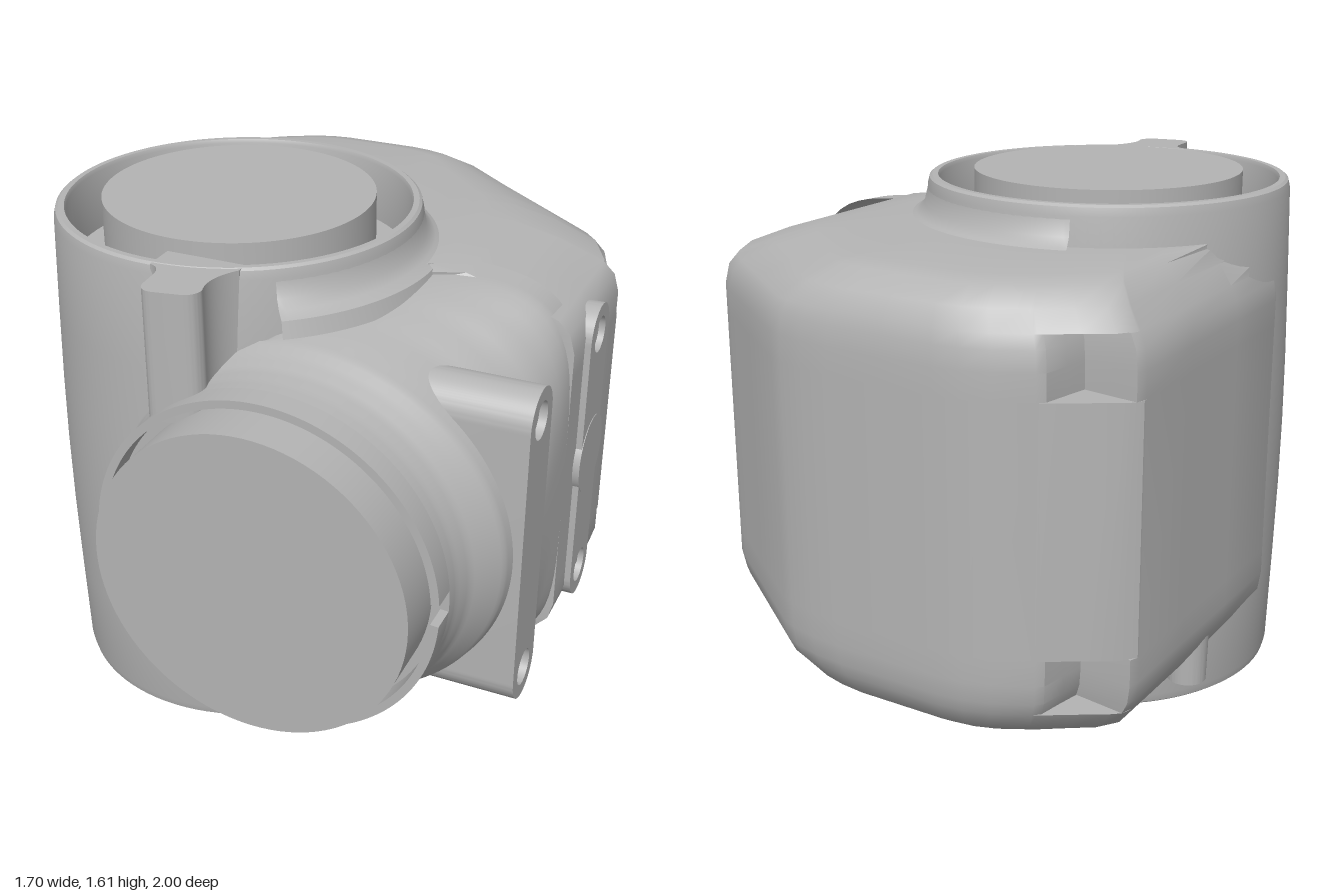
import * as THREE from 'three';
import { toCreasedNormals } from 'three/addons/utils/BufferGeometryUtils.js';

const MID = 0.785;               // height of the horizontal mirror plane
const AX = -0.26, AZ = 0.13;     // vertical barrel axis
const FX = 0.18;                 // front port axis
const metal = new THREE.MeshStandardMaterial({ color: 0xb4b4b4, side: THREE.DoubleSide });
metal.name = 'cast grey metal';

function add(group, name, geometry, crease = 0.6) {
  const mesh = new THREE.Mesh(toCreasedNormals(geometry, crease), metal);
  mesh.name = name;
  group.add(mesh);
  return mesh;
}

// Skin a list of closed rings that all have the same number of points
function loft(rings) {
  const n = rings[0].length, index = [];
  for (let i = 0; i < rings.length - 1; i++) {
    for (let j = 0; j < n; j++) {
      const k = (j + 1) % n, a = i * n + j, b = i * n + k;
      index.push(a, b, b + n, a, b + n, a + n);
    }
  }
  const g = new THREE.BufferGeometry();
  g.setAttribute('position', new THREE.Float32BufferAttribute(rings.flat(2), 3));
  g.setIndex(index);
  return g;
}

// Rear housing: plan outline [x, z, notched x, notched z], stacked in height
function housing() {
  const plan = [
    [0.83, 0.1], [0.83, -0.15], [0.83, -0.4], [0.83, -0.41, 0.70, -0.44], [0.79, -0.49, 0.715, -0.5],
    [0.755, -0.56, 0.73, -0.57], [0.75, -0.565], [0.71, -0.61], [0.66, -0.65], [0.45, -0.8], [0.24, -0.95],
    [0.19, -0.97], [0.1, -0.99], [0, -1], [-0.18, -1], [-0.35, -1], [-0.43, -0.99], [-0.51, -0.965],
    [-0.62, -0.91], [-0.63, -0.905, -0.64, -0.89], [-0.73, -0.84, -0.655, -0.81],
    [-0.81, -0.79, -0.67, -0.74], [-0.85, -0.74, -0.84, -0.765], [-0.85, -0.73], [-0.85, -0.45],
    [-0.85, -0.15], [-0.85, 0.13]];
  for (let i = 1; i <= 16; i++) {
    const a = Math.PI + i / 16 * Math.PI * 0.98;
    plan.push([AX + 0.56 * Math.cos(a), AZ - 0.56 * Math.sin(a)]);
  }
  // height, right scale, left scale, back scale, notched
  const rows = [
    [1.16, 1, 1, 1, 0], [1.16, 1, 1, 1, 1], [1.24, 1, 1, 1, 1], [1.3, 0.985, 0.985, 0.995, 1],
    [1.34, 0.95, 0.95, 0.985, 1], [1.34, 0.95, 0.95, 0.985, 0], [1.4, 0.81, 0.88, 0.96, 0],
    [1.445, 0.68, 0.8, 0.9, 0], [1.46, 0.59, 0.75, 0.84, 0], [1.46, 0, 0, 0, 0]];
  const ring = ([y, sr, sl, sb, notch], flip) => plan.map(([x, z, nx, nz]) => {
    const px = notch && nx !== undefined ? nx : x, pz = notch && nz !== undefined ? nz : z;
    let dx = (px - AX) * (px > AX ? sr : sl), dz = (pz - AZ) * sb;
    if (sr === 0) { dx = (px - AX) * 0.001; dz = (pz - AZ) * 0.001; }
    const r = Math.hypot(dx, dz), k = r < 0.56 ? 0.56 / r : 1;   // stay outside the barrel bore
    return [AX + dx * k, flip ? 2 * MID - y : y, AZ + dz * k];
  });
  return loft([...rows.slice().reverse().map(r => ring(r, true)), ...rows.map(r => ring(r, false))]);
}

// Front port: rounded box blending into a round neck
function frontPort() {
  const keys = [  // z, half width, half height, squareness
    [0, 0.65, 0.66, 5], [0.1, 0.65, 0.655, 5], [0.2, 0.65, 0.65, 3.6], [0.32, 0.65, 0.64, 2.6],
    [0.45, 0.65, 0.625, 2.1], [0.56, 0.648, 0.605, 2], [0.62, 0.635, 0.59, 2], [0.67, 0.6, 0.567, 2],
    [0.72, 0.565, 0.55, 2], [0.78, 0.545, 0.542, 2], [0.82, 0.54, 0.54, 2], [0.82, 0.001, 0.001, 2]];
  const rings = [];
  const N = 128, STEP = 4;
  for (let i = 0; i < keys.length; i++) {
    for (let s = 0; s < (i < keys.length - 1 ? STEP : 1); s++) {
      const [z, a, b, n] = keys[i].map((v, c) => s ? v + (keys[i + 1][c] - v) * s / STEP : v);
      const ring = [];
      for (let j = 0; j < N; j++) {
        const t = j / N * Math.PI * 2, c = Math.cos(t), d = Math.sin(t);
        const k = (Math.abs(c) ** n + Math.abs(d) ** n) ** (-1 / n);
        const x = FX + a * c * k;
        let y = MID + b * d * k;
        // keep clear of the barrel recesses
        if (Math.hypot(x - AX, z - AZ) < 0.572) y = Math.min(1.36, Math.max(0.21, y));
        ring.push([x, y, z]);
      }
      rings.push(ring);
    }
  }
  return loft(rings);
}

const lathe = (pts, a = 0, len = Math.PI * 2) =>
  new THREE.LatheGeometry(pts.map(p => new THREE.Vector2(...p)), 96, a, len);

// Mounting strip on the side face, extruded along x, with counterbored holes
function strip(group, name, z, x0, x1) {
  const r = 0.1, h = 0.43, s = new THREE.Shape();
  s.absarc(0, h, r, 0, Math.PI, false);
  s.absarc(0, -h, r, Math.PI, Math.PI * 2, false);
  s.closePath();
  for (const y of [h, -h]) {
    const hole = new THREE.Path();
    hole.absarc(0, y, 0.058, 0, Math.PI * 2, true);
    s.holes.push(hole);
  }
  const g = new THREE.ExtrudeGeometry(s, { depth: x1 - x0, bevelEnabled: false, curveSegments: 20 });
  g.rotateY(Math.PI / 2).translate(x0, MID, z);
  add(group, name, g);
  for (const y of [h, -h]) {
    const seat = lathe([[0.06, -0.025], [0.035, -0.025], [0.033, -0.1], [0, -0.1]]);
    seat.rotateZ(-Math.PI / 2).translate(x1, MID + y, z);
    add(group, name + 'ScrewSeat', seat);
  }
}

export function createModel() {
  const group = new THREE.Group();
  group.name = 'gearHousing';
  add(group, 'rearHousing', housing());
  add(group, 'frontPort', frontPort());

  // Vertical barrel with a recessed cup at each end
  const half = [[0.588, 1.0], [0.582, 1.25], [0.573, 1.55], [0.567, 1.575], [0.558, 1.582],
    [0.54, 1.582], [0.535, 1.57], [0.535, 1.38], [0, 1.38]];
  const mirrored = half.map(([r, y]) => [r, 2 * MID - y]).reverse();
  add(group, 'barrel', lathe([...mirrored, [0.59, MID], ...half]).translate(AX, 0, AZ));
  add(group, 'barrelDrum', new THREE.CylinderGeometry(0.425, 0.425, 1.6, 96).translate(AX, 0.8, AZ));

  // Fillets where the barrel leaves the housing
  const fillet = [[0.66, 1.4], [0.645, 1.45], [0.61, 1.465], [0.585, 1.49], [0.573, 1.54]];
  add(group, 'upperFillet', lathe(fillet, 0.65, 2.8).translate(AX, 0, AZ));
  add(group, 'lowerFillet',
    lathe(fillet.map(([r, y]) => [r, 2 * MID - y]).reverse(), 0.65, 2.8).translate(AX, 0, AZ));

  // Front collar with a keyway, and its drum
  const band = new THREE.Shape(), gap = 0.065;
  band.absarc(0, 0, 0.54, gap, Math.PI * 2 - gap, false);
  band.absarc(0, 0, 0.515, Math.PI * 2 - gap, gap, true);
  band.closePath();
  add(group, 'frontCollar', new THREE.ExtrudeGeometry(band,
    { depth: 0.08, bevelEnabled: false, curveSegments: 96 }).translate(FX, MID, 0.82));
  add(group, 'frontDrum', new THREE.CylinderGeometry(0.488, 0.488, 0.2, 96)
    .rotateX(Math.PI / 2).translate(FX, MID, 0.9));

  // Side mounting strips and the round plug
  strip(group, 'frontStrip', 0.48, 0.45, 0.85);
  strip(group, 'rearStrip', -0.12, 0.72, 0.85);
  add(group, 'sidePlug', new THREE.CylinderGeometry(0.13, 0.13, 0.1, 48)
    .rotateZ(Math.PI / 2).translate(0.802, MID, -0.13));

  // Upright rib between the barrel and the front port
  const rib = new THREE.Shape();
  rib.moveTo(-0.25, -0.6);
  rib.lineTo(-0.25, -0.7);
  rib.quadraticCurveTo(-0.21, -0.71, -0.205, -0.76);
  rib.lineTo(-0.2, -0.83);
  rib.quadraticCurveTo(-0.19, -0.87, -0.15, -0.865);
  rib.lineTo(-0.07, -0.85);
  rib.quadraticCurveTo(-0.03, -0.84, -0.03, -0.8);
  rib.quadraticCurveTo(-0.06, -0.72, 0.0, -0.64);
  rib.lineTo(0.0, -0.6);
  rib.closePath();
  add(group, 'rib', new THREE.ExtrudeGeometry(rib, { depth: 0.4, bevelEnabled: false })
    .rotateX(-Math.PI / 2).translate(0, 1.18, 0));

  // Small drilled lug beside the lower rim
  add(group, 'lowerLug', lathe([[0, 0.16], [0.03, 0.16], [0.03, 0.1], [0.06, 0.1], [0.065, 0.3]])
    .translate(-0.77, 0, -0.24));
  return group;
}
